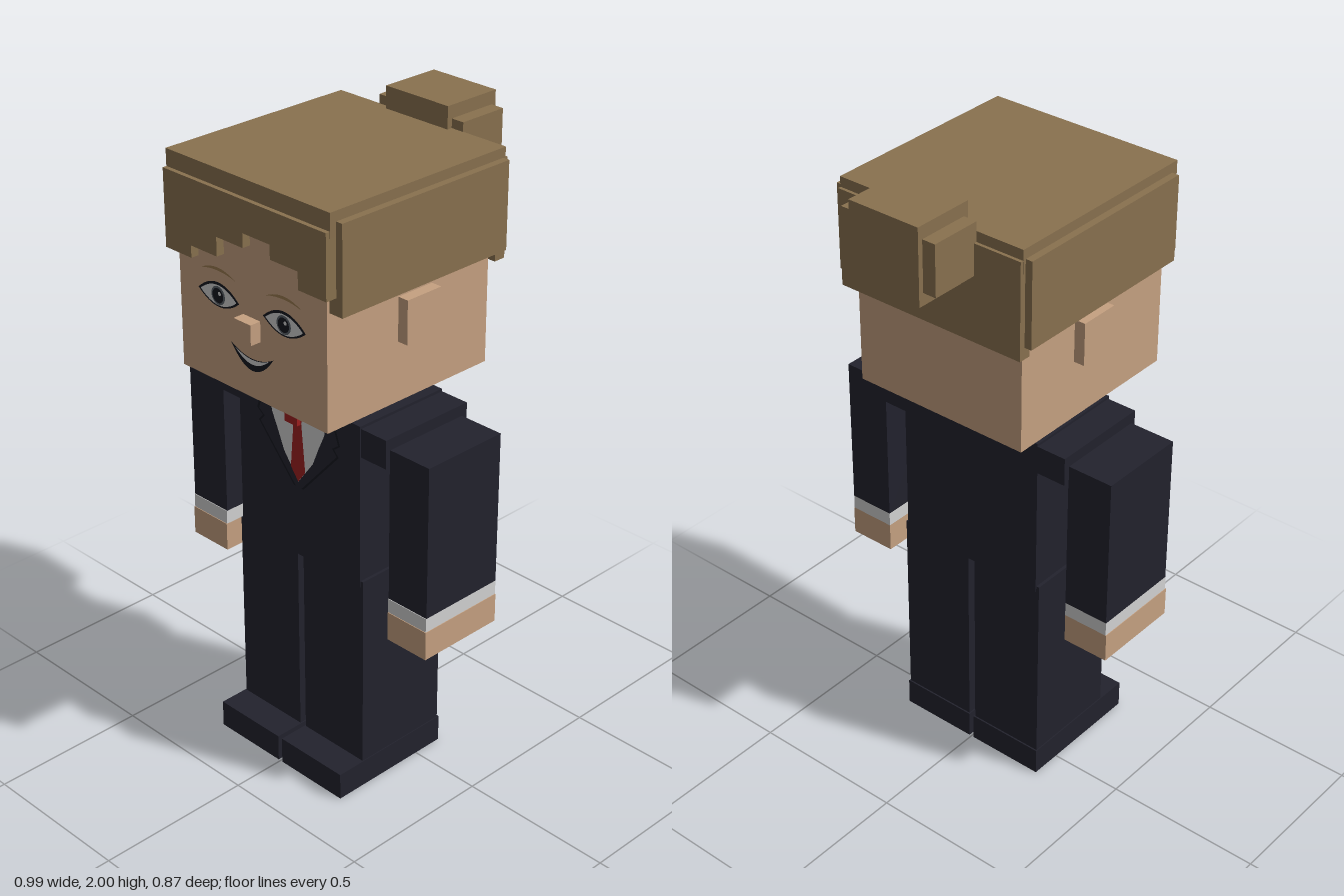
import * as THREE from 'three';

const mat = (name, color, side = THREE.FrontSide) => {
  const m = new THREE.MeshStandardMaterial({ color, side });
  m.name = name;
  return m;
};

export function createModel() {
  const model = new THREE.Group();
  model.name = 'blockMan';
  const skin = mat('skin', 0xc6a181);
  const hair = mat('hair', 0x89714f);
  const suit = mat('suit', 0x22222d);
  const white = mat('white', 0xd2d2d2);
  const red = mat('red', 0x9e2020);
  const ink = mat('ink', 0x14161f);
  const iris = mat('iris', 0x5a6068);
  const brow = mat('brow', 0x9a7a50);

  // Box given by its limits on each axis
  const box = (name, m, [x0, x1], [y0, y1], [z0, z1]) => {
    const mesh = new THREE.Mesh(new THREE.BoxGeometry(x1 - x0, y1 - y0, z1 - z0), m);
    mesh.position.set((x0 + x1) / 2, (y0 + y1) / 2, (z0 + z1) / 2);
    mesh.name = name;
    model.add(mesh);
  };
  // Left box and its mirror image
  const pair = (name, m, [x0, x1], y, z) => {
    box(name + 'Left', m, [x0, x1], y, z);
    box(name + 'Right', m, [-x1, -x0], y, z);
  };
  // Flat painted shape facing forward
  const paint = (name, m, shape, z, x = 0, y = 0) => {
    const mesh = new THREE.Mesh(new THREE.ShapeGeometry(shape, 16), m);
    mesh.position.set(x, y, z);
    mesh.name = name;
    model.add(mesh);
  };
  const poly = (pts) => new THREE.Shape(pts.map(([x, y]) => new THREE.Vector2(x, y)));
  // Half outline on +x, from top to bottom, closed by its mirror image
  const symmetric = (pts) => poly([...pts.map(([x, y]) => [-x, y]), ...pts.slice().reverse()]);
  const disc = (r) => new THREE.Shape().absarc(0, 0, r, 0, Math.PI * 2);
  // Crescent or almond between two curves with shared corners
  const lens = (w, yc, top, bottom) => {
    const s = new THREE.Shape();
    s.moveTo(-w, yc);
    s.quadraticCurveTo(0, 2 * bottom - yc, w, yc);
    s.quadraticCurveTo(0, 2 * top - yc, -w, yc);
    return s;
  };

  // Legs and shoes
  pair('leg', suit, [0.012, 0.26], [0.01, 0.72], [-0.095, 0.228]);
  pair('shoe', suit, [0.008, 0.263], [0, 0.087], [-0.1, 0.325]);

  // Torso, shoulders and arms
  box('torso', suit, [-0.25, 0.25], [0.7, 1.223], [-0.098, 0.23]);
  pair('shoulder', suit, [0.25, 0.347], [1.125, 1.215], [-0.098, 0.226]);
  pair('sleeve', suit, [0.346, 0.495], [0.697, 1.18], [-0.078, 0.21]);
  pair('cuff', white, [0.346, 0.495], [0.652, 0.697], [-0.078, 0.212]);
  pair('hand', skin, [0.346, 0.497], [0.56, 0.652], [-0.078, 0.214]);

  // Shirt front, lapel lines and tie
  paint('shirt', white, symmetric([[0.122, 1.222], [0.108, 1.14], [0.085, 1.09], [0.06, 1.03], [0, 0.95]]), 0.232);
  const lapel = [[0.14, 1.222], [0.172, 1.13], [0.148, 1.112], [0.166, 1.092], [0.02, 0.93]];
  const lapelLine = [...lapel, ...lapel.slice().reverse().map(([x, y]) => [x - 0.008, y])];
  paint('lapelLineLeft', ink, poly(lapelLine), 0.232);
  paint('lapelLineRight', ink, poly(lapelLine.map(([x, y]) => [-x, y])), 0.232);
  paint('tie', red, symmetric([[0.024, 1.19], [0.016, 1.145], [0.03, 0.99], [0, 0.95]]), 0.234);
  box('tieKnot', red, [-0.026, 0.026], [1.15, 1.194], [0.246, 0.26]);

  // Neck and head
  box('neck', skin, [-0.083, 0.083], [1.2, 1.3], [-0.02, 0.155]);
  box('head', skin, [-0.295, 0.295], [1.282, 1.89], [-0.227, 0.397]);
  pair('ear', skin, [0.295, 0.33], [1.466, 1.6], [0, 0.13]);
  box('nose', skin, [-0.034, 0.034], [1.465, 1.527], [0.397, 0.433]);

  // Hair cap, back, sides and bun
  box('hairTop', hair, [-0.321, 0.321], [1.86, 1.932], [-0.256, 0.409]);
  box('hairBack', hair, [-0.32, 0.32], [1.6, 1.9], [-0.266, -0.227]);
  pair('hairSide', hair, [0.293, 0.343], [1.636, 1.902], [-0.247, 0.387]);
  box('bun', hair, [-0.12, 0.12], [1.765, 2], [-0.434, -0.238]);
  box('bunSides', hair, [-0.163, 0.163], [1.803, 1.96], [-0.418, -0.255]);

  // Stepped fringe in one extruded piece
  const steps = [1.645, 1.682, 1.74, 1.783, 1.74, 1.687];
  const outline = [[-0.32, 1.88]];
  steps.forEach((y, i) => {
    outline.push([-0.32 + i * 0.1067, y], [-0.32 + (i + 1) * 0.1067, y]);
  });
  outline.push([0.32, 1.88]);
  const fringe = new THREE.Mesh(
    new THREE.ExtrudeGeometry(poly(outline), { depth: 0.037, bevelEnabled: false }), hair);
  fringe.position.z = 0.386;
  fringe.name = 'fringe';
  model.add(fringe);

  // Eyes and eyebrows
  for (const [side, s] of [['Left', 1], ['Right', -1]]) {
    const x = s * 0.132, y = 1.551;
    paint('eyeOutline' + side, ink, lens(0.084, 0, 0.039, -0.035), 0.399, x, y);
    paint('eyeWhite' + side, white, lens(0.074, 0, 0.031, -0.03), 0.4, x, y);
    paint('iris' + side, iris, disc(0.028), 0.401, x, y);
    paint('pupil' + side, ink, disc(0.022), 0.402, x, y);
    paint('glint' + side, white, disc(0.006), 0.403, x + 0.008, y + 0.008);
    paint('eyebrow' + side, brow, lens(0.07, 0, 0.019, 0.01), 0.399, x, 1.615);
  }

  // Smile
  paint('mouth', ink, lens(0.086, 1.428, 1.403, 1.366), 0.399);
  paint('teeth', white, lens(0.07, 1.419, 1.401, 1.386), 0.4);

  return model;
}
